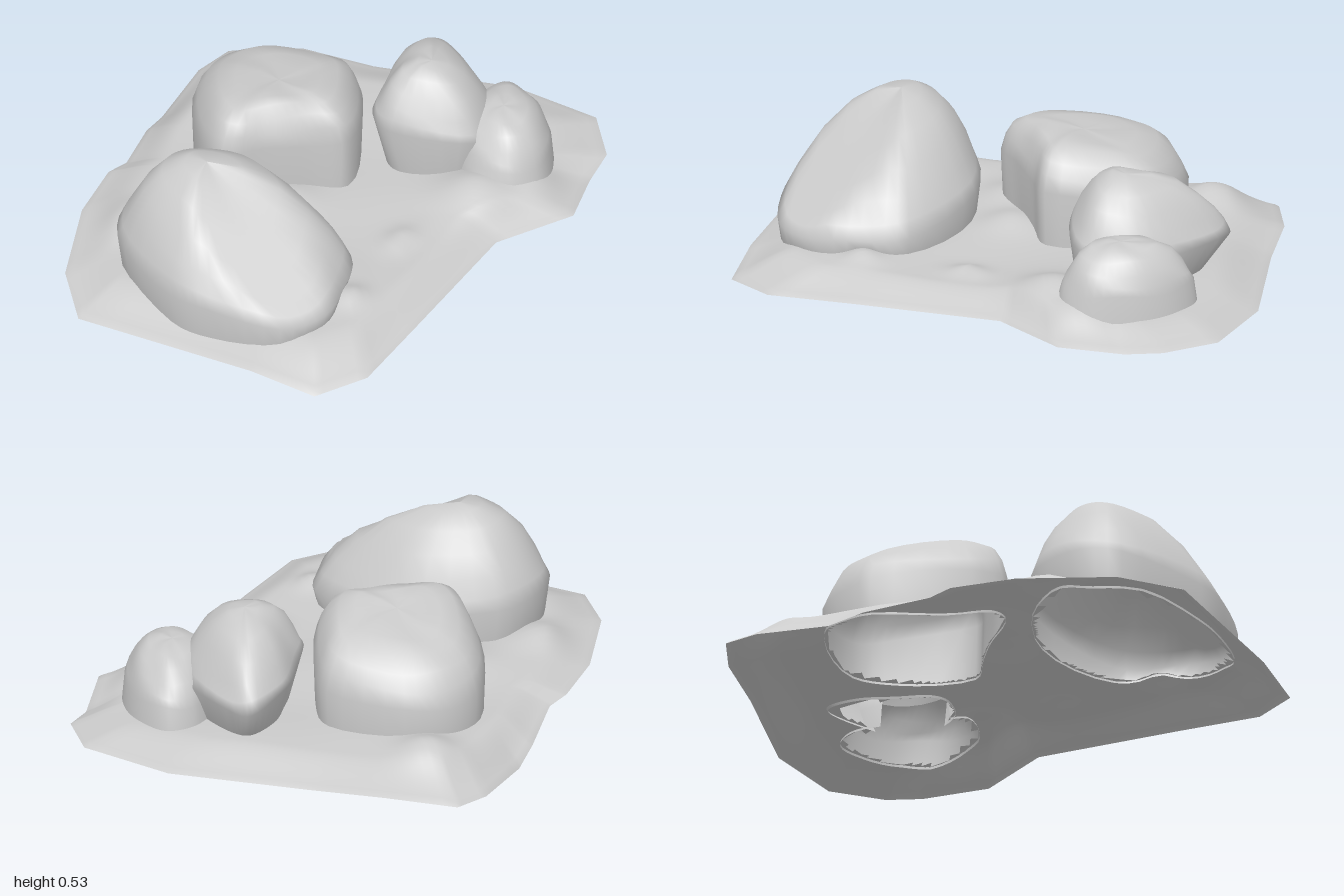
import * as THREE from 'three';

const material = new THREE.MeshStandardMaterial({ color: 0xcccccc, side: THREE.DoubleSide });

// Rim of the ground sheet: x, z, y
const RIM = [
  [1, .41, .07], [.88, .57, .06], [.75, .61, .04], [.55, .72, .06], [.26, .63, .06],
  [-.26, .74, .045], [-.57, .8, .03], [-.76, .73, .02], [-.83, .5, .05],
  [-1, -.14, .04], [-.86, -.33, .06], [-.57, -.52, .07],
  [-.35, -.6, .07], [-.26, -.6, .06], [-.05, -.7, .03], [.07, -.74, 0],
  [.33, -.81, .02], [.47, -.8, .03], [.62, -.6, .06], [.72, -.36, .05], [.95, .08, .06],
];

// Soft lumps in the ground: x, z, height, radius
const LUMPS = [
  [.35, -.57, .05, .1], [0, .43, .03, .06], [-.36, .53, .03, .06], [.36, .45, .06, .13],
  [-.55, -.32, .04, .1], [-.22, -.2, .04, .12], [-.1, 0, .03, .1], [.55, .57, .04, .1],
];

// Each rock falls from its peak (x, y, z) by drop * scale^power towards its outline (x, z).
// tilt leans the top in x and z, foot is a scale about x, z, and cut is a sloping
// plane (direction x, z, height at the peak, slope).
const ROCKS = [
  {
    name: 'largeRock', peak: [-.53, .53, .02], drop: .31, power: 2.6,
    tilt: [0, -.1], foot: [.96, -.52, .2], cut: [-.4, .92, .56, .74],
    outline: [[-.85, .14], [-.76, -.18], [-.6, -.27], [-.42, -.24], [-.21, .05],
      [-.24, .42], [-.38, .52], [-.54, .58], [-.7, .52], [-.82, .3]],
  },
  {
    name: 'backRock', peak: [.07, .435, -.2], drop: .16, power: 7, tilt: [-.08, .12], foot: [.98, .1, -.25],
    outline: [[-.25, -.17], [-.21, -.31], [.04, -.55], [.2, -.55], [.33, -.45],
      [.42, -.18], [.33, -.05], [.1, .1], [0, .02], [-.13, -.08]],
  },
  {
    name: 'rightRock', peak: [.46, .48, .15], drop: .21, power: 2.8, tilt: [-.12, -.06], foot: [.78, .4, .24],
    outline: [[.25, .15], [.27, .05], [.4, -.03], [.55, -.1], [.72, -.1], [.74, 0], [.62, .3], [.42, .38]],
  },
  {
    name: 'smallFrontRock', peak: [.58, .335, .37], drop: .145, power: 4, tilt: [0, 0], foot: [1.05, .58, .35],
    outline: [[.4, .38], [.45, .26], [.68, .17], [.78, .22], [.78, .35], [.7, .48], [.56, .56], [.44, .52]],
  },
];

// Rim radius and height in the direction of a point
function rimAt(x, z) {
  for (let i = 0; i < RIM.length; i++) {
    const a = RIM[i], b = RIM[(i + 1) % RIM.length];
    const ca = x * a[1] - z * a[0], cb = x * b[1] - z * b[0];
    if (ca <= 0 && cb > 0 && x * a[0] + z * a[1] > 0) {
      const t = ca / (ca - cb), mix = k => a[k] + (b[k] - a[k]) * t;
      return { radius: Math.hypot(mix(0), mix(1)), y: mix(2) };
    }
  }
  return { radius: 1, y: .06 };
}

// Ground rises from the rim to a gently uneven plateau
function groundY(x, z) {
  const rim = rimAt(x, z);
  const k = THREE.MathUtils.smoothstep(1 - Math.hypot(x, z) / rim.radius, -.04, .22);
  if (Math.hypot(x, z) > rim.radius * .999) return rim.y;
  let y = .115 + .008 * Math.sin(9 * x + 2) * Math.cos(8 * z);
  for (const [lx, lz, h, r] of LUMPS) {
    y += h * Math.exp(-((x - lx) ** 2 + (z - lz) ** 2) / (r * r));
  }
  return rim.y + (y - rim.y) * k;
}

// Skin over closed loops listed from the middle outwards
function loft(name, loops, skip) {
  const n = loops[0].length, index = [];
  for (let i = 0; i < loops.length - 1; i++) {
    for (let j = 0; j < n; j++) {
      const k = (j + 1) % n;
      if (skip([loops[i][j], loops[i][k], loops[i + 1][j], loops[i + 1][k]])) continue;
      const a = i * n + j, b = i * n + k, c = a + n, d = b + n;
      if (i > 0) index.push(a, b, c);
      index.push(b, d, c);
    }
  }
  const geometry = new THREE.BufferGeometry();
  geometry.setAttribute('position', new THREE.Float32BufferAttribute(loops.flat(2), 3));
  geometry.setIndex(index);
  geometry.computeVertexNormals();
  const mesh = new THREE.Mesh(geometry, material);
  mesh.name = name;
  return mesh;
}

function smoothOutline(points) {
  const curve = new THREE.CatmullRomCurve3(points.map(([x, z]) => new THREE.Vector3(x, 0, z)), true);
  return curve.getPoints(40).slice(0, 40).map(p => [p.x, p.z]);
}

function footLoop({ outline, foot: [scale, cx, cz] }) {
  return smoothOutline(outline).map(([x, z]) => [cx + (x - cx) * scale, cz + (z - cz) * scale]);
}

// Hollow rock: shaped top, then walls down to the ground; parts buried in a neighbour are left out
function buildRock(rock, foot, otherFeet) {
  const [px, py, pz] = rock.peak, outline = smoothOutline(rock.outline);
  const loops = [0, .25, .5, .7, .85, .94, 1].map((s, i) => outline.map(([ox, oz], j) => {
    const dx = (ox - px) * s, dz = (oz - pz) * s, x = px + dx, z = pz + dz;
    let y = py - rock.drop * s ** rock.power + rock.tilt[0] * dx + rock.tilt[1] * dz;
    y += .007 * s * Math.sin(j * Math.PI / 5 + i * 1.7);
    if (rock.cut) {
      const [nx, nz, top, slope] = rock.cut;
      y = Math.min(y, top - slope * (dx * nx + dz * nz));
    }
    return [x, Math.max(y, groundY(x, z) + .01), z];
  }));
  loops.push(foot.map(([x, z]) => [x, groundY(x, z) - .008, z]));
  const buried = ([x, y, z]) => y < .26 && otherFeet.some(other => inside(x, z, other));
  return loft(rock.name, loops, corners => corners.every(buried));
}

function inside(x, z, poly) {
  let hit = false;
  poly.forEach(([ax, az], i) => {
    const [bx, bz] = poly[(i + 1) % poly.length];
    if ((az > z) !== (bz > z) && x < ax + (bx - ax) * (z - az) / (bz - az)) hit = !hit;
  });
  return hit;
}

export function createModel() {
  const group = new THREE.Group();
  group.name = 'rocksOnGround';
  const feet = ROCKS.map(footLoop);
  ROCKS.forEach((rock, i) => group.add(buildRock(rock, feet[i], feet.filter(f => f !== feet[i]))));

  // Ground sheet, open beneath each rock
  const spokes = RIM.flatMap((a, i) => {
    const b = RIM[(i + 1) % RIM.length];
    return [0, .17, .33, .5, .67, .83].map(t => [a[0] + (b[0] - a[0]) * t, a[1] + (b[1] - a[1]) * t]);
  });
  const rows = 60;
  const loops = Array.from({ length: rows + 1 }, (_, i) => spokes.map(([sx, sz]) => {
    const x = sx * i / rows, z = sz * i / rows;
    return [x, groundY(x || 1e-6, z), z];
  }));
  const covered = ([x, , z]) => feet.some(foot => inside(x, z, foot));
  group.add(loft('groundSheet', loops, corners => corners.every(covered)));
  return group;
}
